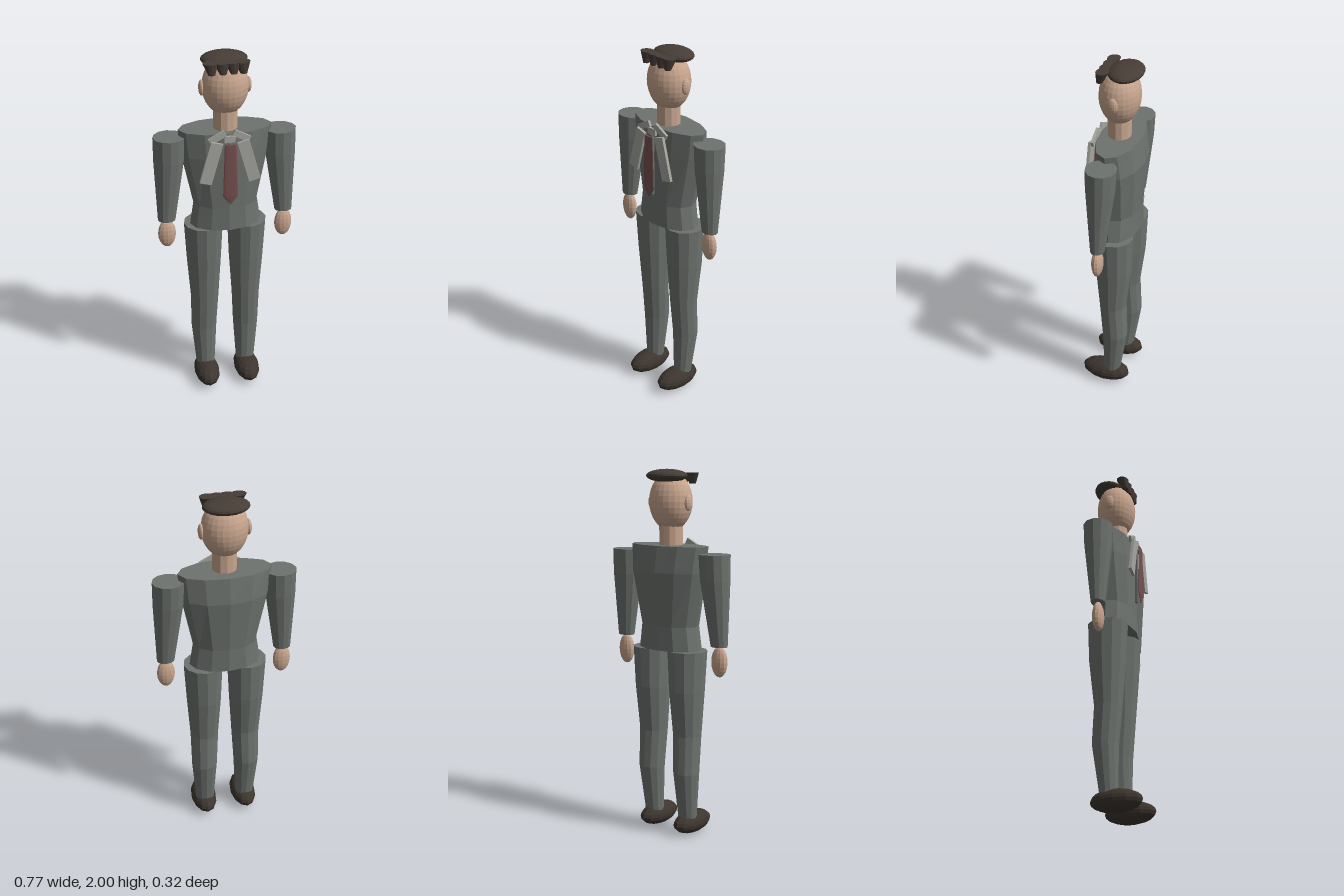
import * as THREE from 'three';

const mat = (name, color) => Object.assign(new THREE.MeshStandardMaterial({ color }), { name });

export function createModel() {
  const suit = mat('suit grey', 0x6e736f);
  const skin = mat('skin', 0xc8a68e);
  const trim = mat('light grey trim', 0xa6a6a1);
  const red = mat('tie red', 0x77504f);
  const hair = mat('hair brown', 0x463d36);
  const leather = mat('shoe brown', 0x3d352e);

  const model = new THREE.Group();
  model.name = 'figure';

  // Adds a faceted mesh
  const add = (name, geometry, material) => {
    const flat = geometry.index ? geometry.toNonIndexed() : geometry;
    flat.computeVertexNormals();
    const mesh = new THREE.Mesh(flat, material);
    mesh.name = name;
    model.add(mesh);
    return mesh;
  };

  // Capped elliptical loft; rings run top to bottom as [y, cx, cz, rx, rz]
  const loft = (name, rings, material) => {
    const n = rings.length - 1;
    const g = new THREE.CylinderGeometry(1, 1, 1, 12, n);
    const p = g.attributes.position;
    for (let i = 0; i < p.count; i++) {
      const [y, cx, cz, rx, rz] = rings[Math.round((0.5 - p.getY(i)) * n)];
      p.setXYZ(i, cx + p.getX(i) * rx, y, cz + p.getZ(i) * rz);
    }
    return add(name, g, material);
  };

  const ellipsoid = (name, c, r, material, w = 16, h = 12) =>
    add(name, new THREE.SphereGeometry(1, w, h).scale(...r).translate(...c), material);

  const box = (name, size, c, tilt, material) =>
    add(name, new THREE.BoxGeometry(...size).rotateZ(tilt).translate(...c), material);

  // Head and neck
  ellipsoid('head', [0, 1.83, -0.022], [0.122, 0.155, 0.108], skin, 24, 16);
  loft('neck', [[1.71, 0, -0.02, 0.065, 0.062], [1.59, 0, -0.02, 0.065, 0.062]], skin);

  // Hair: flat crown and a row of tapered tufts
  ellipsoid('hairCrown', [0, 1.965, -0.055], [0.122, 0.035, 0.09], hair, 20, 12);
  [-0.088, -0.03, 0.025, 0.075].forEach((x) =>
    loft('hairTuft', [[1.98, x, 0.044, 0.041, 0.034], [1.922, x + 0.004, 0.058, 0.018, 0.016]], hair));

  // Jacket body
  loft('torso', [
    [1.6, 0, -0.03, 0.25, 0.11],
    [1.46, 0, -0.035, 0.235, 0.125],
    [1.17, 0, -0.025, 0.175, 0.115],
    [1.04, 0, -0.024, 0.195, 0.117],
  ], suit);

  // Paired parts
  for (const s of [1, -1]) {
    const side = s > 0 ? 'left' : 'right';
    ellipsoid(side + 'Ear', [s * 0.123, 1.825, -0.027], [0.016, 0.043, 0.028], skin, 12, 8);

    loft(side + 'Arm', [
      [1.565, s * 0.297, -0.03, 0.086, 0.081],
      [1.43, s * 0.301, -0.028, 0.082, 0.075],
      [1.08, s * 0.323, -0.018, 0.048, 0.038],
    ], suit);
    ellipsoid(side + 'Hand', [s * 0.324, 0.998, -0.016], [0.049, 0.083, 0.03], skin, 12, 10);

    loft(side + 'Leg', [
      [1.04, s * 0.12, -0.03, 0.108, 0.11],
      [0.82, s * 0.119, -0.032, 0.097, 0.1],
      [0.57, s * 0.118, -0.027, 0.08, 0.075],
      [0.36, s * 0.122, -0.04, 0.073, 0.071],
      [0.09, s * 0.118, -0.022, 0.053, 0.047],
    ], suit);
    ellipsoid(side + 'Shoe', [s * 0.119, 0.063, 0.018], [0.072, 0.061, 0.14], leather, 12, 10);

    box(side + 'Lapel', [0.065, 0.235, 0.016], [s * 0.1, 1.457, 0.108], s * 0.27, trim);
    box(side + 'Collar', [0.095, 0.034, 0.014], [s * 0.063, 1.594, 0.092], -s * 0.48, trim);
  }

  // Tie, its knot and the placket behind it
  loft('tie', [
    [1.56, 0, 0.121, 0.031, 0.005],
    [1.265, 0, 0.121, 0.04, 0.006],
    [1.215, 0, 0.121, 0.002, 0.002],
  ], red);
  box('knot', [0.06, 0.035, 0.014], [0, 1.58, 0.095], 0, trim);
  box('placket', [0.016, 0.34, 0.018], [0, 1.39, 0.094], 0, suit);

  return model;
}
